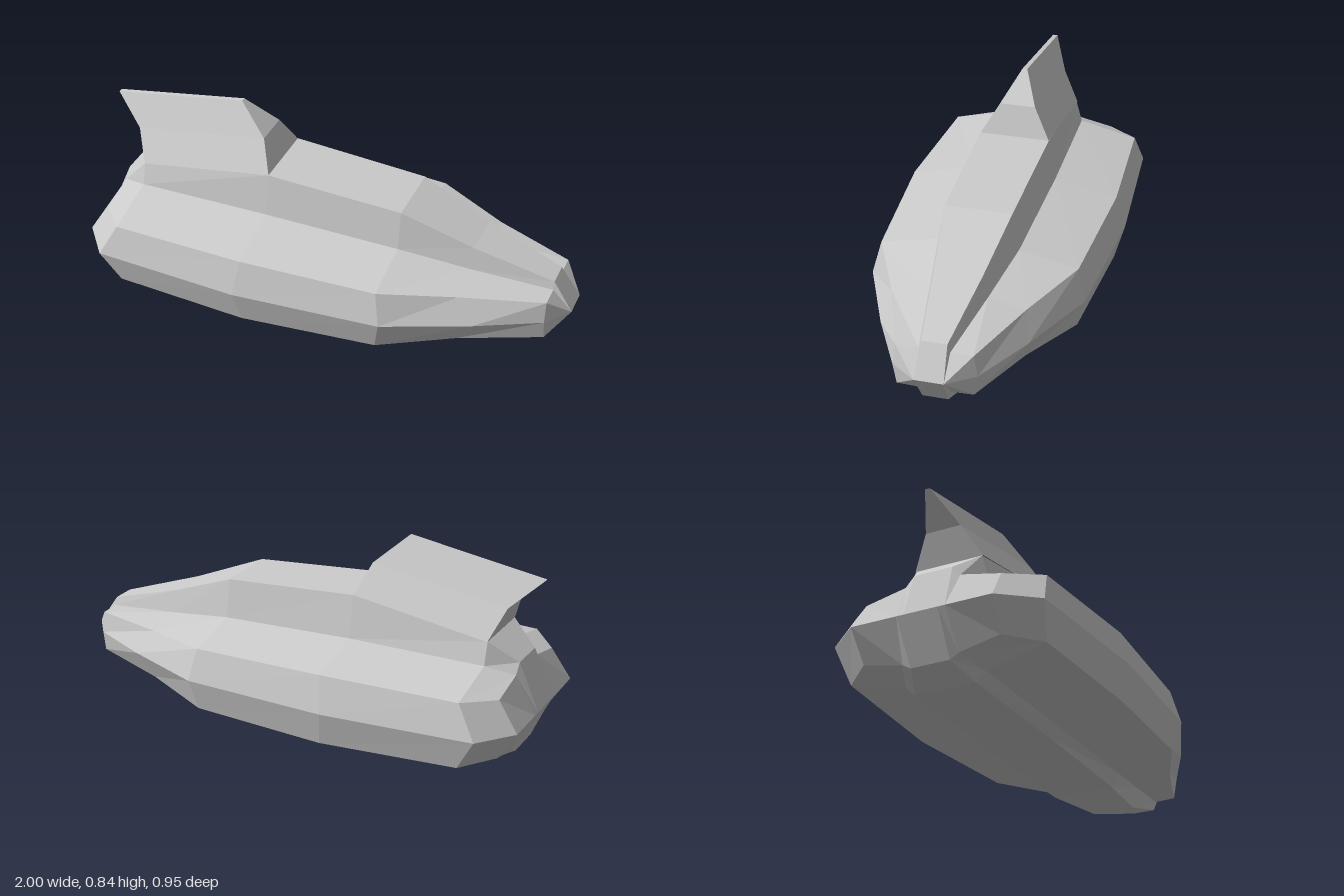
import * as THREE from 'three';

// Skin a list of closed rings of [x, y, z] points with flat quads.
function loft(rings) {
  const pos = [];
  const [a, b, c, ab, ac] = Array.from({ length: 5 }, () => new THREE.Vector3());
  const tri = (...p) => {
    a.fromArray(p[0]); b.fromArray(p[1]); c.fromArray(p[2]);
    const area = ab.subVectors(b, a).cross(ac.subVectors(c, a)).length();
    if (area > 1e-7) pos.push(...p.flat());
  };
  for (let i = 0; i < rings.length - 1; i++) {
    const r = rings[i], s = rings[i + 1], n = r.length;
    for (let j = 0; j < n; j++) {
      const k = (j + 1) % n;
      tri(r[j], s[j], s[k]);
      tri(r[j], s[k], r[k]);
    }
  }
  const g = new THREE.BufferGeometry();
  g.setAttribute('position', new THREE.Float32BufferAttribute(pos, 3));
  g.computeVertexNormals();
  return g;
}

// Hull station: heights and half widths from keel to spine; the side edge has its own x.
function station(x, xSide, heights, widths) {
  const half = heights.map((y, i) => [i === 3 ? xSide : x, y, widths[i]]);
  const other = half.map(([px, y, z]) => [px, y, -z]).reverse();
  return [...half, ...other];
}

export function createModel() {
  const group = new THREE.Group();
  const material = new THREE.MeshStandardMaterial({ color: 0xcccccc, flatShading: true });
  const add = (name, geometry) => {
    const mesh = new THREE.Mesh(geometry, material);
    mesh.name = name;
    group.add(mesh);
  };

  // Hull, tail to nose: keel, lower shoulder, lower edge, side, upper edge, upper shoulder, spine
  const flat = Array(7).fill(0.24);
  add('hull', loft([
    station(-1, -1, flat, [0.07, 0.1, 0.29, 0.29, 0.29, 0.1, 0.07]),
    station(-0.92, -1, [0.065, 0.085, 0.12, 0.24, 0.36, 0.395, 0.435], [0.08, 0.115, 0.28, 0.29, 0.28, 0.115, 0.08]),
    station(-0.81, -0.885, [0.012, 0.05, 0.11, 0.24, 0.375, 0.43, 0.52], [0.125, 0.165, 0.405, 0.435, 0.405, 0.165, 0.14]),
    station(-0.25, -0.27, [0.006, 0.04, 0.1, 0.24, 0.385, 0.44, 0.61], [0.135, 0.177, 0.435, 0.473, 0.435, 0.177, 0.145]),
    station(0.31, 0.335, [0.002, 0.055, 0.113, 0.24, 0.37, 0.42, 0.575], [0.13, 0.163, 0.4, 0.433, 0.4, 0.163, 0.135]),
    station(0.6, 0.67, [0.018, 0.1, 0.138, 0.24, 0.343, 0.372, 0.462], [0.09, 0.115, 0.265, 0.29, 0.265, 0.115, 0.095]),
    station(0.92, 0.92, [0.117, 0.153, 0.156, 0.24, 0.326, 0.327, 0.36], [0.05, 0.06, 0.148, 0.163, 0.148, 0.06, 0.05]),
    station(1, 1, flat, Array(7).fill(0.057)),
  ]));

  // Swept tail fin: front x, front y, back x, back y, half thickness; the last layer closes the top
  const layers = [
    [-0.25, 0.61, -0.81, 0.52, 0.144],
    [-0.298, 0.73, -0.86, 0.64, 0.074],
    [-0.42, 0.84, -0.98, 0.75, 0.01],
    [-0.42, 0.84, -0.98, 0.75, 0],
  ];
  add('tailFin', loft(layers.map(([fx, fy, bx, by, z]) =>
    [[fx, fy, z], [bx, by, z], [bx, by, -z], [fx, fy, -z]])));

  return group;
}
